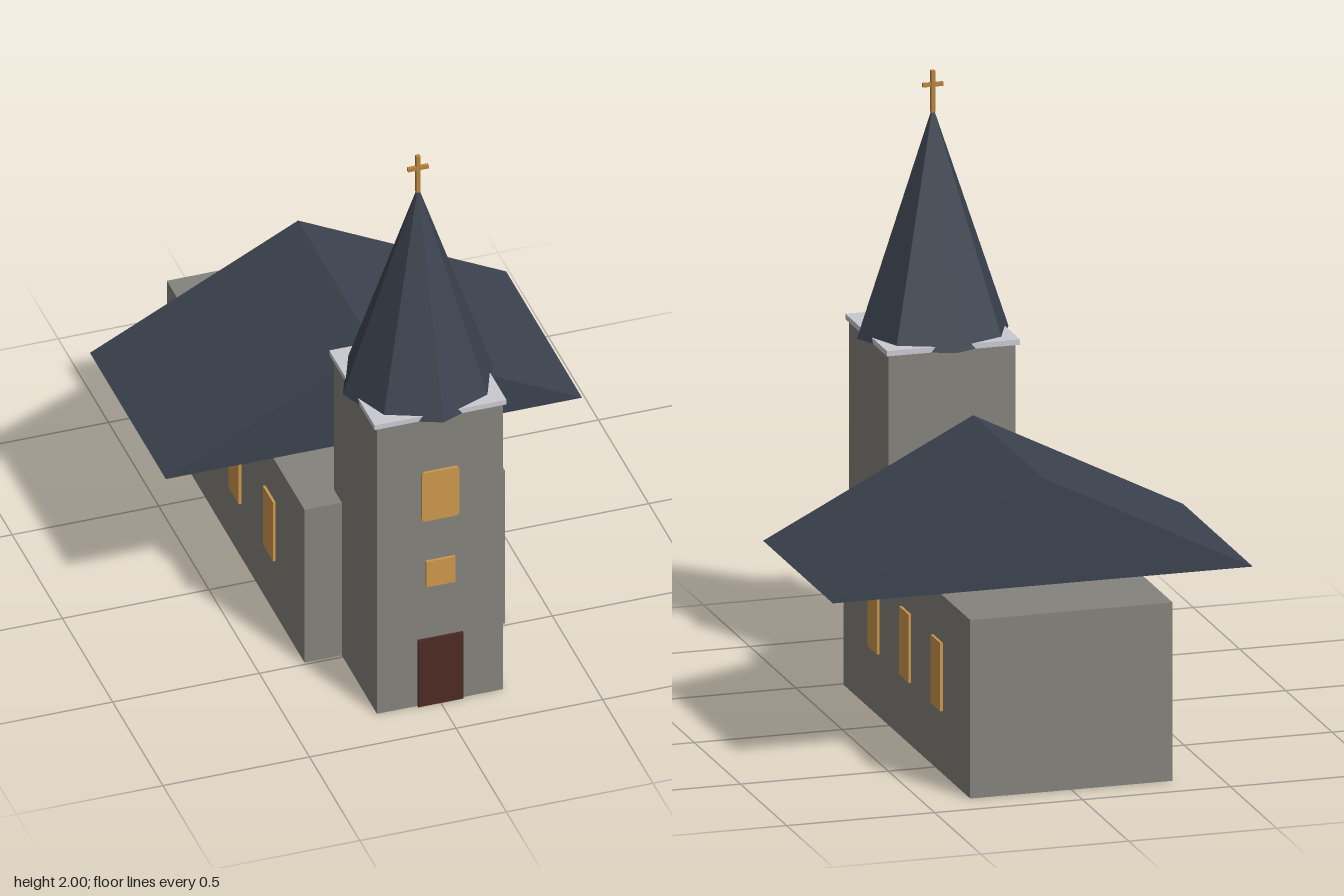
import * as THREE from 'three';

const mat = (name, color, flatShading = false) => {
  const m = new THREE.MeshStandardMaterial({ color, flatShading });
  m.name = name;
  return m;
};

export function createModel() {
  const stone = mat('stone', 0x84827c);
  const slate = mat('slate', 0x3b424e, true);
  const glow = mat('windowAmber', 0xcc984c);
  const wood = mat('doorWood', 0x4c2a22);
  const trim = mat('paleTrim', 0xc9c9d0);
  const brass = mat('brass', 0xb8843e);

  const church = new THREE.Group();
  church.name = 'church';
  const add = (name, geometry, material, x = 0, y = 0, z = 0) => {
    const mesh = new THREE.Mesh(geometry, material);
    mesh.name = name;
    mesh.position.set(x, y, z);
    church.add(mesh);
    return mesh;
  };
  // Box given by its extents on each axis
  const box = (name, material, [x0, x1], [y0, y1], [z0, z1]) =>
    add(name, new THREE.BoxGeometry(x1 - x0, y1 - y0, z1 - z0), material,
      (x0 + x1) / 2, (y0 + y1) / 2, (z0 + z1) / 2);

  // Masonry
  box('nave', stone, [-0.342, 0.342], [0, 0.6], [-0.88, 0.49]);
  box('tower', stone, [-0.215, 0.215], [0, 1.122], [0.41, 0.84]);
  box('towerCornice', trim, [-0.225, 0.225], [1.12, 1.138], [0.395, 0.845]);

  // Gabled nave roof with wide eaves
  const gable = new THREE.Shape([
    new THREE.Vector2(-0.71, 0.602),
    new THREE.Vector2(0.71, 0.602),
    new THREE.Vector2(0, 0.962),
  ]);
  add('naveRoof', new THREE.ExtrudeGeometry(gable, { depth: 0.755, bevelEnabled: false }),
    slate, 0, 0, -0.572);

  // Eight-sided spire
  add('spire', new THREE.ConeGeometry(0.256, 0.76, 8), slate, 0, 1.5, 0.62);

  // Cross on the spire
  box('crossUpright', brass, [-0.007, 0.007], [1.86, 2], [0.613, 0.627]);
  box('crossArm', brass, [-0.035, 0.035], [1.946, 1.959], [0.614, 0.626]);

  // Tower front: door, small window, round-cornered belfry window
  box('door', wood, [-0.077, 0.077], [0, 0.26], [0.84, 0.849]);
  box('towerWindow', glow, [-0.05, 0.05], [0.465, 0.565], [0.84, 0.849]);

  const w = 0.064, h = 0.095, r = 0.012;
  const pane = new THREE.Shape();
  pane.moveTo(-w + r, -h);
  for (const [cx, cy, a] of [[w - r, r - h, -0.5], [w - r, h - r, 0], [r - w, h - r, 0.5], [r - w, r - h, 1]]) {
    pane.absarc(cx, cy, r, a * Math.PI, (a + 0.5) * Math.PI);
  }
  add('belfryWindow', new THREE.ExtrudeGeometry(pane, { depth: 0.009, bevelEnabled: false, curveSegments: 3 }),
    glow, 0, 0.82, 0.84);

  // Three windows along each side of the nave
  for (const side of [-1, 1]) {
    for (const z of [0.152, -0.19, -0.532]) {
      add('naveWindow', new THREE.BoxGeometry(0.009, 0.23, 0.102), glow, side * 0.3463, 0.326, z);
    }
  }
  return church;
}
